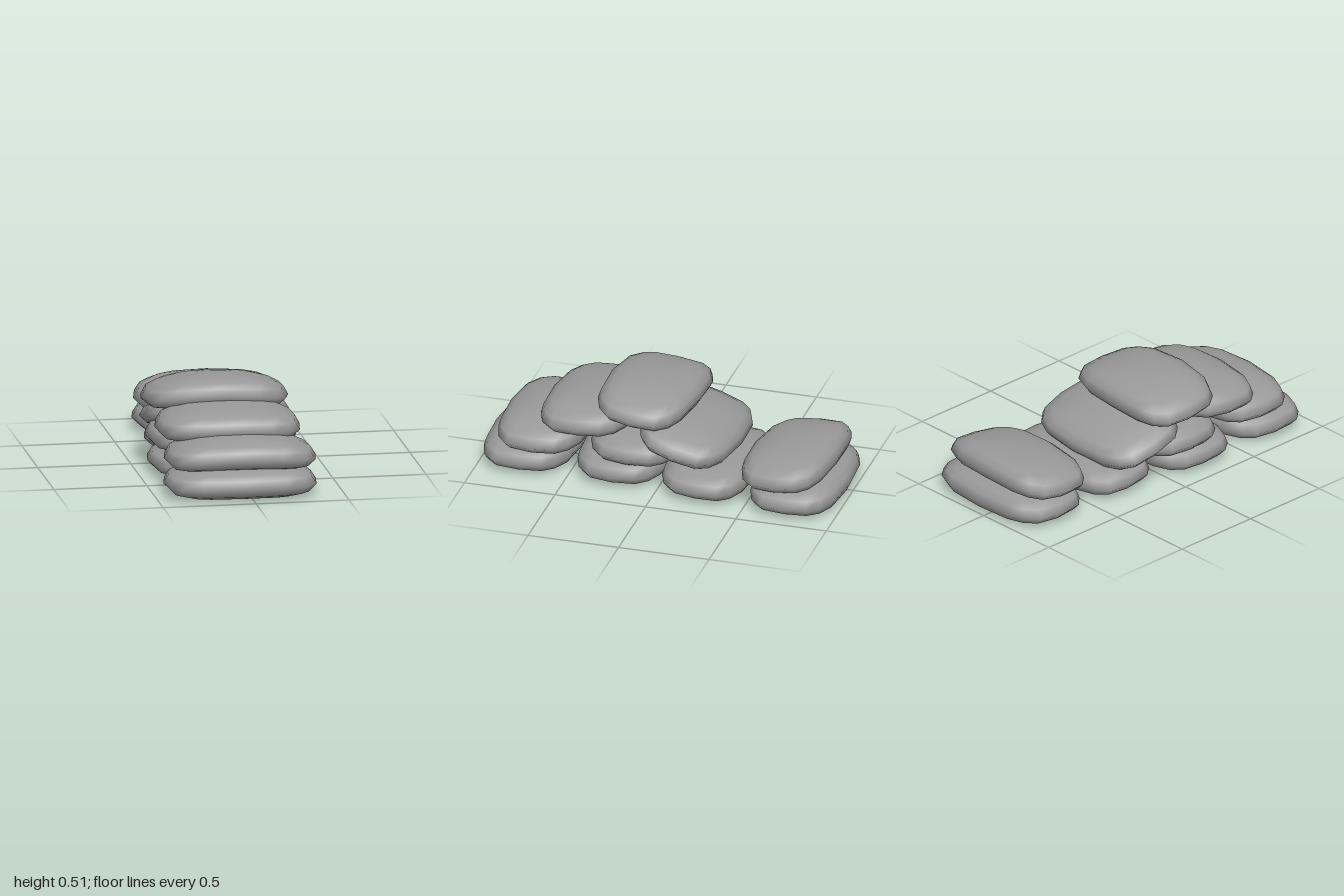
import * as THREE from 'three';

const SEGMENTS = 16;

// Bag cross-sections from open underside to crown:
// [x scale, z scale, height from bag centre, squareness of the outline]
const RINGS = [
  [0.56, 0.42, -0.078, 14],
  [0.70, 0.70, -0.073, 4],
  [0.90, 0.92, -0.052, 3.4],
  [1.00, 1.00, -0.010, 3.4],
  [0.93, 0.95, 0.034, 3.4],
  [0.78, 0.80, 0.058, 3.4],
  [0.55, 0.56, 0.075, 3.2],
  [0.28, 0.26, 0.082, 3],
];

const power = (v, n) => Math.sign(v) * Math.pow(Math.abs(v), 2 / n);

// Lofted sack: rounded oblong outline, sagging ends, slight uneven bulges
function bagGeometry(halfX, halfZ, droop, seed) {
  const positions = [];
  const index = [];
  for (const [sx, sz, y, n] of RINGS) {
    for (let i = 0; i < SEGMENTS; i++) {
      const a = (i / SEGMENTS) * Math.PI * 2;
      const bulge = 1 + 0.012 * Math.sin(3 * a + seed);
      const x = power(Math.cos(a), n) * sx * bulge;
      const z = power(Math.sin(a), n) * sz * (1 - 0.09 * x * x) * bulge;
      positions.push(x * halfX, y - droop * x * x, z * halfZ);
    }
  }
  const crown = positions.length / 3;
  positions.push(0, 0.084, 0);
  for (let r = 0; r < RINGS.length; r++) {
    for (let i = 0; i < SEGMENTS; i++) {
      const a = r * SEGMENTS + i;
      const b = r * SEGMENTS + ((i + 1) % SEGMENTS);
      if (r === RINGS.length - 1) index.push(a, crown, b);
      else index.push(a, a + SEGMENTS, b, b, a + SEGMENTS, b + SEGMENTS);
    }
  }
  const geometry = new THREE.BufferGeometry();
  geometry.setAttribute('position', new THREE.Float32BufferAttribute(positions, 3));
  geometry.setIndex(index);
  geometry.computeVertexNormals();
  return geometry;
}

// name, centre [x, y, z], half length, half depth, pitch, yaw, end droop
const BAGS = [
  ['groundBagFront', [-0.045, 0.083, 0.745], 0.408, 0.256, 0, -0.03, 0.004],
  ['groundBagMiddle', [-0.045, 0.083, 0.228], 0.408, 0.258, 0, -0.03, 0.004],
  ['groundBagRear', [0.025, 0.085, -0.257], 0.405, 0.245, -0.02, -0.05, 0.004],
  ['groundBagEnd', [0.052, 0.079, -0.753], 0.412, 0.247, 0, -0.03, 0.004],
  ['secondBagFront', [-0.033, 0.217, 0.662], 0.405, 0.254, 0, -0.05, 0.025],
  ['secondBagMiddle', [-0.045, 0.2, 0.145], 0.4, 0.263, 0, -0.05, 0.01],
  ['secondBagEnd', [0.047, 0.212, -0.702], 0.405, 0.242, 0.08, -0.07, 0.025],
  ['thirdBagFront', [-0.055, 0.328, 0.425], 0.387, 0.261, 0.04, -0.06, 0.02],
  ['thirdBagLeaning', [-0.035, 0.258, -0.125], 0.402, 0.264, -0.27, -0.05, 0.015],
  ['topBag', [-0.073, 0.425, 0.113], 0.393, 0.26, -0.07, -0.08, 0.035],
];

export function createModel() {
  const model = new THREE.Group();
  model.name = 'sandbagPile';
  const cloth = new THREE.MeshStandardMaterial({ color: 0x999999, side: THREE.DoubleSide });
  BAGS.forEach(([name, centre, halfX, halfZ, pitch, yaw, droop], i) => {
    const bag = new THREE.Mesh(bagGeometry(halfX, halfZ, droop, i * 1.7), cloth);
    bag.name = name;
    bag.position.set(...centre);
    bag.rotation.set(pitch, yaw, 0);
    model.add(bag);
  });
  return model;
}
